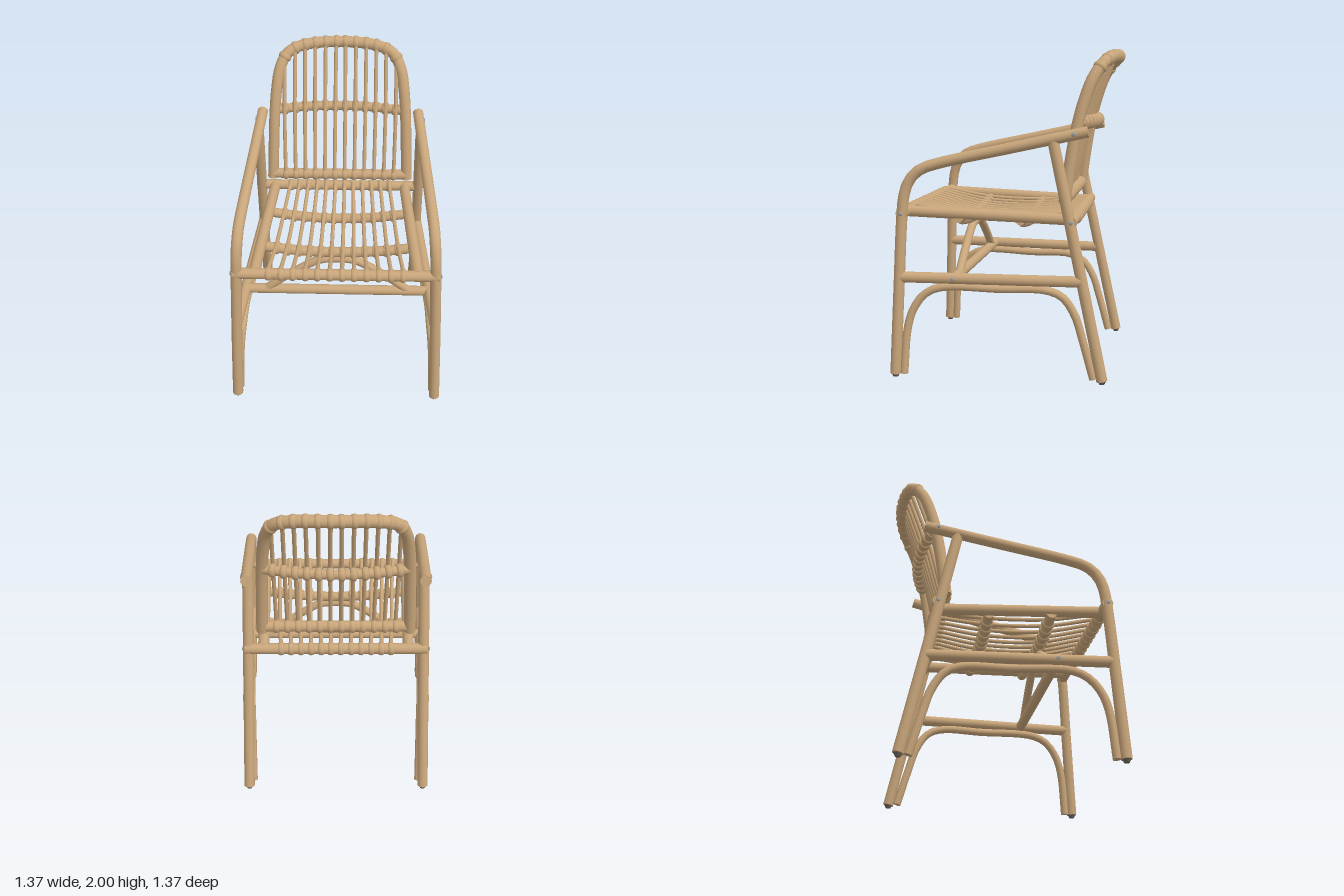
import * as THREE from 'three';

const cane = new THREE.MeshStandardMaterial({ color: 0xc9a67b });
cane.name = 'rattan cane';
const steel = new THREE.MeshStandardMaterial({ color: 0x9aa0a6 });
steel.name = 'screw steel';
const rubber = new THREE.MeshStandardMaterial({ color: 0x6b6259 });
rubber.name = 'foot tip';

const V = (x, y, z) => new THREE.Vector3(x, y, z);
const curveOf = (pts) => new THREE.CatmullRomCurve3(pts.map((p) => V(...p)), false, 'centripetal');
const mirrored = (pts, s) => pts.map(([x, y, z]) => [x * s, y, z]);

export function createModel() {
  const model = new THREE.Group();

  const add = (parent, name, geometry, material = cane) => {
    const mesh = new THREE.Mesh(geometry, material);
    mesh.name = name;
    parent.add(mesh);
    return mesh;
  };

  // A round pole along a path, closed by a flat disc at each end
  const pole = (parent, name, pts, r, segments = 40) => {
    const curve = curveOf(pts);
    const g = new THREE.Group();
    g.name = name;
    parent.add(g);
    const n = pts.length === 2 ? 1 : segments;
    add(g, name + 'Shaft', new THREE.TubeGeometry(curve, n, r, 14));
    for (const t of [0, 1]) {
      const cap = add(g, name + 'End', new THREE.CircleGeometry(r, 14));
      const p = curve.getPoint(t);
      cap.position.copy(p);
      cap.lookAt(p.clone().addScaledVector(curve.getTangent(t), t ? 1 : -1));
    }
    return curve;
  };

  // Point and direction on a crosswise bar at a given x
  const atX = (curve, x, minY = 0) => {
    let best = null;
    for (let i = 0; i <= 600; i++) {
      const p = curve.getPoint(i / 600);
      if (p.y > minY && (!best || Math.abs(p.x - x) < Math.abs(best.p.x - x))) {
        best = { p, dir: curve.getTangent(i / 600) };
      }
    }
    return best;
  };

  // Binding loop where a slat meets a bar
  const wrapGeo = new THREE.TorusGeometry(0.029, 0.014, 8, 16);
  const wrap = (parent, { p, dir }) => {
    const m = add(parent, 'binding', wrapGeo);
    m.position.copy(p);
    m.lookAt(p.clone().add(dir));
    m.scale.z = 1.5;
  };

  const screw = (x, y, z, dir) => {
    const m = add(model, 'screw', new THREE.SphereGeometry(0.013, 10, 6), steel);
    m.position.set(x, y, z);
    m.lookAt(x + dir[0], y + dir[1], z + dir[2]);
    m.scale.z = 0.4;
  };

  // Left and right side frames
  for (const s of [1, -1]) {
    const side = new THREE.Group();
    side.name = s > 0 ? 'leftSide' : 'rightSide';
    model.add(side);
    const p = (name, pts, r) => pole(side, name, mirrored(pts, s), r);

    p('frontLegAndArm', [[0.652, 0.02, 0.648], [0.627, 0.55, 0.625], [0.603, 1, 0.605], [0.597, 1.12, 0.592],
      [0.59, 1.21, 0.56], [0.584, 1.275, 0.495], [0.577, 1.31, 0.4], [0.55, 1.41, -0.05], [0.522, 1.51, -0.51]], 0.034);
    p('backLeg', [[0.57, 0.02, -0.615], [0.532, 1.46, -0.305]], 0.034);
    p('legBrace', [[0.642, 0.02, 0.597], [0.625, 0.3, 0.575], [0.615, 0.42, 0.54], [0.603, 0.515, 0.47],
      [0.597, 0.56, 0.37], [0.572, 0.56, 0], [0.558, 0.56, -0.27], [0.55, 0.52, -0.37],
      [0.545, 0.41, -0.445], [0.545, 0.27, -0.49], [0.545, 0.02, -0.56]], 0.025);
    p('sideStretcher', [[0.622, 0.62, 0.62], [0.558, 0.62, -0.485]], 0.034);
    p('seatSideRail', [[0.495, 1.01, 0.605], [0.45, 0.975, -0.42]], 0.035);

    // Foot tips
    for (const [x, z] of [[0.652, 0.648], [0.57, -0.615]]) {
      const tip = add(side, 'footTip', new THREE.CylinderGeometry(0.026, 0.016, 0.022, 12), rubber);
      tip.position.set(s * x, 0.011, z);
    }

    screw(s * 0.561, 1.495, -0.43, [s, 0, 0]);
    screw(s * 0.638, 1.01, 0.605, [s, 0, 0]);
    screw(s * 0.578, 0.975, -0.42, [s, 0, 0]);
    screw(s * 0.637, 0.62, 0.285, [s, 0, 0]);
  }

  // Seat bars and lower stretcher with arch
  const seat = new THREE.Group();
  seat.name = 'seat';
  model.add(seat);
  const sagging = (w, yEnd, yMid, z) => [-1, -0.5, 0, 0.5, 1].map((t) => [t * w, yMid + (yEnd - yMid) * t * t, z]);
  const frontRail = pole(seat, 'frontSeatRail', [[-0.625, 1.01, 0.605], [0.625, 1.01, 0.605]], 0.034);
  const frontBar = pole(seat, 'frontCrossBar', sagging(0.5, 0.975, 0.93, 0.283), 0.032);
  const rearBar = pole(seat, 'rearCrossBar', sagging(0.46, 0.965, 0.92, -0.098), 0.032);
  const rearRail = pole(seat, 'rearSeatRail', [[-0.565, 0.975, -0.42], [0.565, 0.975, -0.42]], 0.034);
  pole(model, 'crossStretcher', [[-0.6, 0.62, 0.285], [0.6, 0.62, 0.285]], 0.032);
  pole(model, 'arch', [[-0.47, 0.62, 0.285], [-0.36, 0.71, 0.285], [-0.21, 0.815, 0.285], [-0.11, 0.87, 0.285],
    [0, 0.882, 0.285], [0.11, 0.87, 0.285], [0.21, 0.815, 0.285], [0.36, 0.71, 0.285], [0.47, 0.62, 0.285]], 0.027);

  // Backrest frame, bottom bar and curved middle bar
  const back = new THREE.Group();
  back.name = 'backrest';
  model.add(back);
  const half = [[0.458, 1.075, -0.365], [0.447, 1.3, -0.395], [0.435, 1.52, -0.432], [0.418, 1.7, -0.478],
    [0.395, 1.82, -0.523], [0.345, 1.905, -0.575], [0.25, 1.942, -0.613]];
  const frame = pole(back, 'backFrame', [...half, [0, 1.957, -0.643], ...mirrored(half, -1).reverse()], 0.036, 90);
  const bottomBar = pole(back, 'backBottomBar', [[-0.455, 1.105, -0.365], [0.455, 1.105, -0.365]], 0.034);
  const middleBar = pole(back, 'backMiddleBar', [-1, -0.5, 0, 0.5, 1].map(
    (t) => [t * 0.43, 1.555, -0.512 + 0.065 * t * t]), 0.03);

  // Twelve slats in the seat and twelve in the back, bound to each bar
  for (let i = 0; i < 12; i++) {
    const k = i - 5.5;
    const hits = [
      atX(frontRail, k * 0.074), atX(frontBar, k * 0.07), atX(rearBar, k * 0.066), atX(rearRail, k * 0.062),
    ];
    pole(seat, 'seatSlat', hits.map(({ p }) => [p.x, p.y + 0.032, p.z]), 0.0125, 16);
    hits.forEach((h) => wrap(seat, h));

    const backHits = [atX(bottomBar, k * 0.067), atX(middleBar, k * 0.067), atX(frame, k * 0.066, 1.7)];
    const [b, m, t] = backHits.map((h) => h.p);
    pole(back, 'backSlat', [[b.x, b.y - 0.02, b.z + 0.025], [m.x, m.y, m.z + 0.032], [t.x, t.y, t.z + 0.022]], 0.0125, 16);
    backHits.forEach((h) => wrap(back, h));
  }

  return model;
}
